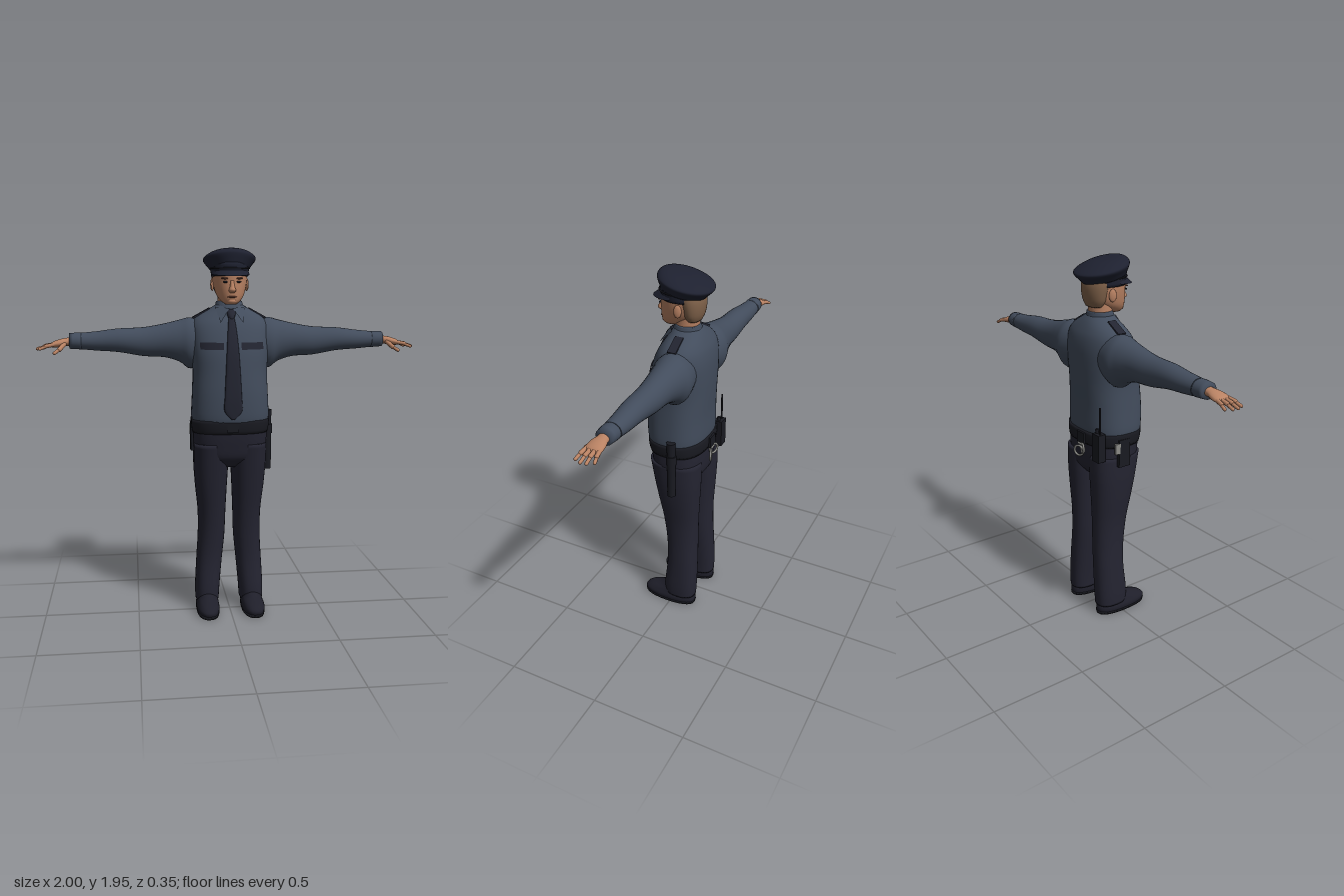
import * as THREE from 'three';
import { ParametricGeometry } from 'three/addons/geometries/ParametricGeometry.js';

const mat = (name, color, side = THREE.FrontSide) => {
  const m = new THREE.MeshStandardMaterial({ color, side });
  m.name = name;
  return m;
};

// Torso sections: [height, centre x, half width, front z, back z, squareness]
const TORSO = [
  [1.04, 0, .196, .15, -.143, 2.5], [1.085, 0, .205, .162, -.15, 2.5], [1.2, 0, .2, .165, -.151, 2.5],
  [1.32, 0, .196, .158, -.157, 2.4], [1.42, 0, .203, .147, -.16, 2.4], [1.5, 0, .205, .125, -.158, 2.4],
  [1.56, 0, .2, .1, -.148, 2.3], [1.6, 0, .172, .075, -.132, 2.2], [1.635, 0, .115, .055, -.112, 2.1],
  [1.66, 0, .075, .042, -.092, 2],
];

// Smooths a table of sections with a Catmull-Rom rule
function smooth(rows, steps) {
  const out = [], last = rows.length - 1;
  for (let i = 0; i < last; i++) {
    const [p, a, b, q] = [rows[Math.max(i - 1, 0)], rows[i], rows[i + 1], rows[Math.min(i + 2, last)]];
    for (let k = 0; k < steps; k++) {
      const t = k / steps;
      out.push(a.map((v, c) => v + .5 * t * (b[c] - p[c] + t * (2 * p[c] - 5 * v + 4 * b[c] - q[c] + t * (3 * (v - b[c]) + q[c] - p[c])))));
    }
  }
  out.push(rows[last]);
  return out;
}

// Skin over sections [t, centre, radius, front z, back z, squareness], along y or x
function loft(rows, { axis = 'y', seg = 28, steps = 4, shear = 0 } = {}) {
  const rings = smooth(rows.map(r => r.length < 6 ? [...r, 2] : r), steps);
  const pos = [], idx = [];
  const put = (t, u, z) => axis === 'y' ? pos.push(u, t + shear * z, z) : pos.push(t, u, z);
  const pw = (v, n) => Math.sign(v) * Math.abs(v) ** (2 / n);
  const tri = (a, b, c) => axis === 'y' ? idx.push(a, b, c) : idx.push(a, c, b);
  for (const [t, c, r, zf, zb, n] of rings)
    for (let i = 0; i < seg; i++) {
      const a = i / seg * Math.PI * 2;
      put(t, c + r * pw(Math.cos(a), n), (zf + zb) / 2 + (zf - zb) / 2 * pw(Math.sin(a), n));
    }
  for (let j = 0; j < rings.length - 1; j++)
    for (let i = 0; i < seg; i++) {
      const a = j * seg + i, b = j * seg + (i + 1) % seg;
      tri(a, a + seg, b);
      tri(b, a + seg, b + seg);
    }
  const top = (rings.length - 1) * seg, c0 = rings.length * seg;
  for (const r of [rings[0], rings.at(-1)]) put(r[0], r[1], (r[3] + r[4]) / 2);
  for (let i = 0; i < seg; i++) {
    const n = (i + 1) % seg;
    tri(c0, i, n);
    tri(c0 + 1, top + n, top + i);
  }
  const g = new THREE.BufferGeometry();
  g.setAttribute('position', new THREE.Float32BufferAttribute(pos, 3));
  g.setIndex(idx);
  g.computeVertexNormals();
  return g;
}

function mirrored(geo) {
  const g = geo.clone().scale(-1, 1, 1), a = g.index.array;
  for (let i = 0; i < a.length; i += 3) [a[i], a[i + 1]] = [a[i + 1], a[i]];
  return g;
}

// Rounded rod between two points
function rod(a, b, r) {
  const p = new THREE.Vector3(...a), q = new THREE.Vector3(...b), d = q.clone().sub(p);
  const turn = new THREE.Quaternion().setFromUnitVectors(new THREE.Vector3(0, 1, 0), d.clone().normalize());
  const m = p.add(q).multiplyScalar(.5);
  return new THREE.CapsuleGeometry(r, d.length(), 4, 10).applyQuaternion(turn).translate(m.x, m.y, m.z);
}

const box = (w, h, d, x, y, z) => new THREE.BoxGeometry(w, h, d).translate(x, y, z);
const ball = (w, h, d, x, y, z) => new THREE.SphereGeometry(1, 16, 12).scale(w, h, d).translate(x, y, z);

// Front surface of the torso
function chestZ(x, y) {
  const i = Math.max(0, TORSO.findIndex(r => r[0] > y) - 1), t = (y - TORSO[i][0]) / (TORSO[i + 1][0] - TORSO[i][0]);
  const [, , r, zf, zb, n] = TORSO[i].map((v, c) => v + (TORSO[i + 1][c] - v) * t);
  return (zf + zb) / 2 + (zf - zb) / 2 * (1 - Math.abs(x / r) ** n) ** (1 / n);
}

export function createModel() {
  const model = new THREE.Group();
  const shirt = mat('shirt blue', 0x424c5c, THREE.DoubleSide), trousers = mat('trouser navy', 0x242431);
  const capCloth = mat('cap navy', 0x1e2130, THREE.DoubleSide), skin = mat('skin', 0xb98263);
  const hair = mat('cropped hair', 0x80624a), gear = mat('black gear', 0x191a21);
  const metal = mat('steel', 0x8c8c88), leather = mat('shoe leather', 0x1f1f2a);
  const trim = mat('tie and trim', 0x232531, THREE.DoubleSide), face = mat('face detail', 0x6b4235);
  const add = (name, geo, m) => {
    const mesh = new THREE.Mesh(geo, m);
    mesh.name = name;
    model.add(mesh);
  };
  const pair = (name, geo, m) => {
    add('left' + name, geo, m);
    add('right' + name, mirrored(geo), m);
  };

  // Shirt
  add('torso', loft(TORSO, { seg: 48 }), shirt);
  pair('Sleeve', loft([
    [.1, 1.475, .1, .05, -.13], [.2, 1.462, .134, .065, -.146], [.26, 1.474, .11, .05, -.133],
    [.34, 1.477, .088, .036, -.116], [.45, 1.471, .075, .026, -.106], [.58, 1.479, .061, .02, -.101],
    [.7, 1.476, .049, .01, -.094], [.82, 1.477, .038, 0, -.082],
  ], { axis: 'x' }), shirt);
  pair('Cuff', loft([[.765, 1.476, .043, .004, -.09], [.79, 1.477, .043, .005, -.089], [.83, 1.477, .04, .002, -.084]], { axis: 'x', steps: 2 }), shirt);
  add('collarBand', loft([[1.62, 0, .085, .058, -.1], [1.65, 0, .076, .05, -.096], [1.68, 0, .068, .035, -.09]]), shirt);
  const flap = new THREE.BufferGeometry().setAttribute('position', new THREE.Float32BufferAttribute(
    [.008, 1.645, .067, .058, 1.572, .105, .08, 1.652, .025], 3)).setIndex([0, 1, 2]);
  flap.computeVertexNormals();
  pair('CollarPoint', flap, shirt);
  pair('PocketFlap', new ParametricGeometry((u, v, p) => {
    const x = .045 + .118 * u, y = 1.437 + .036 * v;
    p.set(x, y, chestZ(x, y) + .007);
  }, 12, 3), trim);
  pair('ShoulderStrap', new THREE.BoxGeometry(.1, .009, .045).rotateZ(-.5).translate(.147, 1.618, -.03), trim);

  // Tie
  add('tie', loft([
    [1.08, 0, .008, .172, .155, 3], [1.125, 0, .046, .174, .155, 3], [1.2, 0, .044, .176, .155, 3],
    [1.32, 0, .038, .17, .145, 3], [1.42, 0, .032, .159, .135, 3], [1.5, 0, .026, .138, .115, 3],
    [1.56, 0, .02, .113, .09, 3], [1.605, 0, .014, .09, .065, 3],
  ], { seg: 16 }), trim);
  add('tieKnot', loft([[1.59, 0, .013, .1, .06], [1.61, 0, .021, .094, .05], [1.64, 0, .023, .07, .04]], { seg: 14 }), trim);

  // Trousers, belt and shoes
  add('hips', loft([
    [.81, 0, .1, .06, -.1], [.86, 0, .182, .115, -.138, 2.5], [.93, 0, .195, .134, -.147, 2.6],
    [1.0, 0, .197, .145, -.147, 2.6], [1.06, 0, .2, .15, -.146, 2.5],
  ], { seg: 40 }), trousers);
  pair('TrouserLeg', loft([
    [.055, .122, .064, .046, -.134, 2.4], [.13, .12, .067, .047, -.137, 2.4], [.28, .109, .07, .035, -.136, 2.3],
    [.42, .098, .073, .043, -.133, 2.2], [.56, .096, .076, .062, -.134, 2.2], [.7, .1, .086, .088, -.14, 2.3],
    [.82, .101, .093, .11, -.145, 2.4], [.94, .1, .095, .132, -.145, 2.4],
  ]), trousers);
  add('belt', loft([[1.0, 0, .201, .15, -.152, 2.6], [1.035, 0, .207, .157, -.156, 2.6], [1.07, 0, .207, .158, -.154, 2.6]], { seg: 40, steps: 2 }), gear);
  add('buckle', box(.06, .045, .008, 0, 1.035, .158), gear);
  pair('Shoe', loft([
    [.012, .124, .06, .17, -.132, 2.4], [.035, .124, .062, .174, -.134, 2.4], [.058, .122, .056, .145, -.13, 2.3],
    [.08, .122, .05, .085, -.125], [.105, .122, .045, .04, -.12],
  ]), leather);
  pair('Sole', loft([[0, .124, .06, .172, -.133, 2.4], [.016, .124, .063, .176, -.136, 2.4]], { steps: 1 }), gear);

  // Hands
  pair('Palm', loft([
    [.8, 1.476, .024, -.014, -.066], [.84, 1.473, .021, -.01, -.068], [.875, 1.467, .021, .004, -.077],
    [.91, 1.46, .016, .006, -.078], [.925, 1.456, .008, -.004, -.07],
  ], { axis: 'x', seg: 18 }), skin);
  const fingers = [[-.066, -.078, .968], [-.046, -.05, .988], [-.024, -.022, .992], [-.004, .01, .978]];
  fingers.forEach(([z0, z1, tip], i) => {
    pair('Finger' + (i + 1), rod([.905, 1.461, z0], [(.905 + tip) / 2 + .005, 1.453, (z0 + z1) / 2], .0105), skin);
    pair('Fingertip' + (i + 1), rod([(.905 + tip) / 2, 1.453, (z0 + z1) / 2], [tip, 1.439, z1], .008), skin);
  });
  pair('Thumb', rod([.855, 1.462, -.012], [.878, 1.437, .02], .012), skin);
  pair('ThumbTip', rod([.878, 1.437, .02], [.902, 1.42, .036], .009), skin);

  // Head
  add('neck', loft([[1.59, 0, .07, .04, -.085], [1.66, 0, .062, .04, -.084], [1.74, 0, .062, .04, -.09]]), skin);
  add('head', loft([
    [1.664, 0, .026, .098, .03], [1.678, 0, .046, .11, -.01], [1.705, 0, .067, .114, -.06], [1.74, 0, .08, .116, -.098],
    [1.78, 0, .088, .115, -.11], [1.82, 0, .09, .115, -.11], [1.86, 0, .086, .1, -.1],
  ], { seg: 36 }), skin);
  add('hair', loft([
    [1.705, 0, .055, -.03, -.095], [1.735, 0, .074, -.01, -.108], [1.775, 0, .084, 0, -.115],
    [1.815, 0, .089, .012, -.115], [1.85, 0, .086, .01, -.105],
  ]), hair);
  add('nose', loft([[1.722, 0, .011, .122, .1], [1.735, 0, .019, .14, .1], [1.755, 0, .012, .132, .1], [1.785, 0, .009, .119, .1]], { seg: 14 }), skin);
  pair('Ear', new THREE.SphereGeometry(1, 14, 10).scale(.009, .033, .02).rotateY(.3).translate(.09, 1.765, -.012), skin);
  pair('Eye', ball(.013, .005, .005, .034, 1.777, .1085), gear);
  pair('Brow', ball(.02, .005, .006, .036, 1.795, .108), face);
  add('mouth', ball(.024, .005, .006, 0, 1.702, .112), face);
  add('chin', ball(.026, .015, .018, 0, 1.681, .096), skin);

  // Peaked cap
  add('capBand', loft([[1.806, 0, .096, .116, -.114], [1.84, 0, .099, .119, -.115], [1.875, 0, .102, .12, -.112]], { seg: 36, steps: 2 }), capCloth);
  add('capCrown', loft([
    [1.84, 0, .1, .117, -.113], [1.865, 0, .118, .122, -.135], [1.89, 0, .136, .126, -.156], [1.905, 0, .131, .124, -.15],
    [1.922, 0, .1, .108, -.105], [1.932, 0, .06, .075, -.06], [1.935, 0, .01, .02, -.01],
  ], { seg: 40, shear: .2 }), capCloth);
  add('capVisor', new ParametricGeometry((u, v, p) => {
    const a = Math.PI * (.04 + .92 * u), s = Math.sin(a);
    p.set((.097 + .004 * v) * Math.cos(a), 1.838 - .012 * (1 - s) - v * (.008 + .024 * s), .012 + (.105 + .04 * v) * s);
  }, 24, 4), capCloth);
  add('capStrap', new THREE.TorusGeometry(1, .04, 6, 32, Math.PI).rotateX(Math.PI / 2).scale(.1, .1, .112).translate(0, 1.846, .008), gear);

  // Baton on the left hip
  const peg = (r0, r1, h, y) => new THREE.CylinderGeometry(r0, r1, h, 16).translate(.208, y, -.033);
  add('batonHolder', peg(.024, .022, .23, .895), gear);
  add('batonCollar', peg(.027, .027, .05, 1.0), gear);
  add('batonGrip', peg(.024, .021, .1, 1.053), gear);

  // Radio, sidearm and handcuffs
  add('radio', box(.055, .15, .045, -.15, 1.01, -.142), gear);
  add('radioKnob', new THREE.CylinderGeometry(.008, .008, .025, 10).translate(-.136, 1.095, -.142), gear);
  add('radioAntenna', rod([-.165, 1.08, -.145], [-.165, 1.225, -.145], .005), gear);
  add('holster', box(.026, .15, .07, -.196, .97, -.02), gear);
  add('sidearmGrip', box(.014, .055, .03, -.203, 1.0, -.062), metal);
  add('cuffPouch', box(.06, .06, .02, -.015, 1.03, -.155), gear);
  [-1, 1].forEach(s => add(s < 0 ? 'handcuffRight' : 'handcuffLeft',
    new THREE.TorusGeometry(.027, .006, 8, 24).rotateY(s * .35).translate(-.015 + s * .017, .962 - s * .012, -.162), metal));
  add('handcuffLink', rod([-.03, .995, -.163], [0, .995, -.163], .007), metal);

  return model;
}
